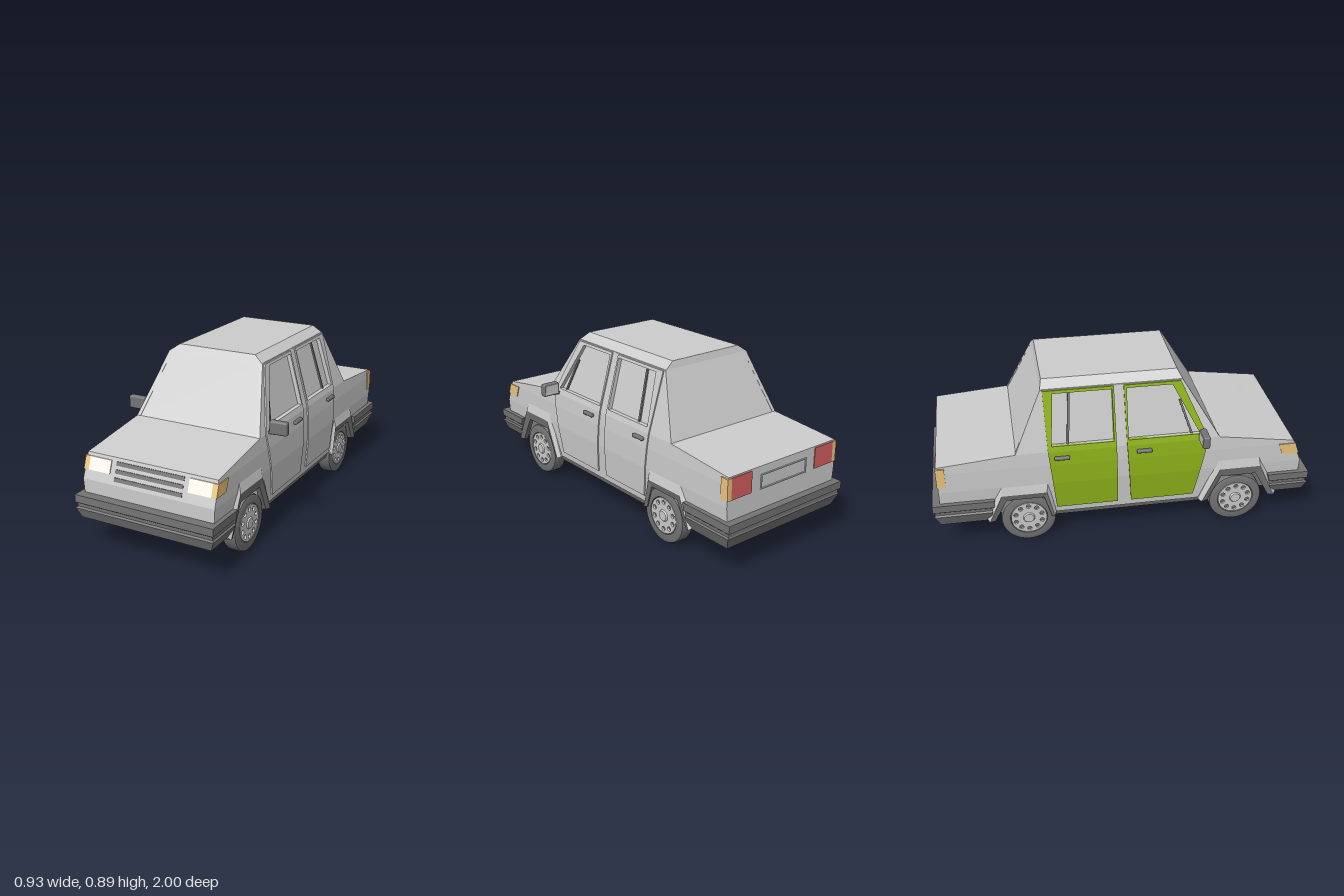
import * as THREE from 'three';
import { toCreasedNormals } from 'three/addons/utils/BufferGeometryUtils.js';
import { RoundedBoxGeometry } from 'three/addons/geometries/RoundedBoxGeometry.js';

const GREY = 0xcccccc, DARK = 0x747474, GREEN = 0x8fb31a, AMBER = 0xeec47c, CREAM = 0xfffaf0, RED = 0xd86060;

const mat = (color, side = THREE.FrontSide) => new THREE.MeshStandardMaterial({ color, side });

function add(parent, name, geo, color = GREY, x = 0, y = 0, z = 0) {
  const m = new THREE.Mesh(geo, mat(color));
  m.name = name;
  m.position.set(x, y, z);
  parent.add(m);
  return m;
}

// Flat-shaded solid from a triangle list, turned so that its faces point outwards
function solid(pos) {
  let vol = 0;
  const [a, b, c] = [0, 1, 2].map(() => new THREE.Vector3());
  for (let i = 0; i < pos.length; i += 9) {
    vol += a.fromArray(pos, i).dot(b.fromArray(pos, i + 3).cross(c.fromArray(pos, i + 6)));
  }
  if (vol < 0) {
    for (let i = 0; i < pos.length; i += 9) {
      for (let k = 0; k < 3; k++) [pos[i + 3 + k], pos[i + 6 + k]] = [pos[i + 6 + k], pos[i + 3 + k]];
    }
  }
  const g = new THREE.BufferGeometry();
  g.setAttribute('position', new THREE.Float32BufferAttribute(pos, 3));
  g.computeVertexNormals();
  return g;
}

// Skin over equal-length closed rings, with fan caps
function loft(rings) {
  const pos = [], n = rings[0].length, last = rings[rings.length - 1];
  const tri = (...p) => p.forEach(v => pos.push(...v));
  for (let r = 0; r + 1 < rings.length; r++) {
    for (let i = 0; i < n; i++) {
      const j = (i + 1) % n, A = rings[r], B = rings[r + 1];
      tri(A[i], A[j], B[j]);
      tri(A[i], B[j], B[i]);
    }
  }
  for (let i = 1; i + 1 < n; i++) {
    tri(rings[0][0], rings[0][i + 1], rings[0][i]);
    tri(last[0], last[i], last[i + 1]);
  }
  return solid(pos);
}

// Horizontal rectangle ring
const rect = (y, w, z0, z1) => [[w, y, z0], [w, y, z1], [-w, y, z1], [-w, y, z0]];

// Half width of the car's side at a height
const WALL = [[0.15, 0.355], [0.36, 0.368], [0.47, 0.365], [0.545, 0.358], [0.86, 0.272]];
function wall(y) {
  if (y <= WALL[0][0]) return WALL[0][1];
  for (let i = 1; i < WALL.length; i++) {
    const [y0, w0] = WALL[i - 1], [y1, w1] = WALL[i];
    if (y <= y1) return w0 + (w1 - w0) * (y - y0) / (y1 - y0);
  }
  return WALL[WALL.length - 1][1];
}

// Sheet drawn in (z, y) that follows the side; in and out are offsets from the wall
function panel(pts, holes, side, inner, outer) {
  const toPts = l => l.map(p => new THREE.Vector2(...p));
  const shape = new THREE.Shape(toPts(pts));
  holes.forEach(h => shape.holes.push(new THREE.Path(toPts(h))));
  const p = new THREE.ExtrudeGeometry(shape, { depth: 1, bevelEnabled: false }).attributes.position;
  const pos = [];
  for (let i = 0; i < p.count; i++) {
    const y = p.getY(i);
    pos.push(side * (wall(y) + inner + p.getZ(i) * (outer - inner)), y, p.getX(i));
  }
  return solid(pos);
}

const WINDOWS = [
  [[0.395, 0.575], [0.255, 0.84], [0.02, 0.84], [0.02, 0.575]],
  [[-0.055, 0.575], [-0.055, 0.84], [-0.355, 0.84], [-0.375, 0.575]],
];
// Door edges as z at the sill, belt and top
const DOORS = [
  { name: 'frontDoor', a: [0.37, 0.44, 0.3], b: [0.035, 0.012, 0.005], handle: 0.1 },
  { name: 'rearDoor', a: [-0.035, -0.042, -0.045], b: [-0.36, -0.395, -0.405], handle: -0.325 },
];

function buildDoor(parent, d, i, side) {
  const door = new THREE.Group();
  door.name = d.name;
  parent.add(door);
  const color = side < 0 ? GREEN : GREY;
  const edge = (e, y) => e[0] + (e[1] - e[0]) * (y - 0.2) / 0.345;
  const levels = [0.2, 0.36, 0.47, 0.545];
  for (let k = 0; k < 3; k++) {
    const [y0, y1] = [levels[k], levels[k + 1]];
    add(door, 'doorSkin', panel([[edge(d.a, y0), y0], [edge(d.a, y1), y1], [edge(d.b, y1), y1], [edge(d.b, y0), y0]],
      [], side, -0.01, 0.007), color);
  }
  add(door, 'windowFrame', panel([[d.a[1], 0.545], [d.a[2], 0.855], [d.b[2], 0.855], [d.b[1], 0.545]],
    [WINDOWS[i]], side, -0.01, 0.007), color);
  // Window divider
  const [t, l] = i ? [-0.265, -0.285] : [0.3, 0.36];
  const yT = i ? 0.845 : 0.75, yL = 0.57;
  add(door, 'windowDivider', panel([[t, yT], [t - 0.012, yT], [l - 0.012, yL], [l, yL]], [], side, -0.02, -0.007), DARK);
  add(door, 'doorHandle', new RoundedBoxGeometry(0.022, 0.018, 0.08, 2, 0.006), DARK, side * 0.374, 0.512, d.handle);
}

// Wheel arch: body-coloured flare sloping out to a dark lip
function buildArch(parent, side, flare, lipTop, opening) {
  const arch = new THREE.Group();
  arch.name = 'wheelArch';
  parent.add(arch);
  const strip = (name, A, xA, B, xB, color) => {
    const rings = A.map((p, i) => [
      [side * xA, p[1], p[0]], [side * xB, B[i][1], B[i][0]],
      [side * 0.345, B[i][1], B[i][0]], [side * 0.345, p[1], p[0]]]);
    add(arch, name, loft(rings), color);
  };
  strip('archFlare', flare, 0.364, lipTop, 0.379, GREY);
  strip('archLip', lipTop, 0.379, opening, 0.37, DARK);
}

function buildWheel(parent, x, z) {
  const wheel = new THREE.Group();
  wheel.name = 'wheel';
  wheel.position.set(x, 0.145, z);
  wheel.rotation.z = x > 0 ? -Math.PI / 2 : Math.PI / 2;
  parent.add(wheel);
  const V = (r, h) => new THREE.Vector2(r, h);
  const tyre = new THREE.LatheGeometry([V(0.06, -0.038), V(0.132, -0.038), V(0.141, -0.034), V(0.145, -0.024),
    V(0.145, 0.024), V(0.141, 0.034), V(0.132, 0.038), V(0.098, 0.038), V(0.095, 0.026), V(0, 0.026)], 36);
  add(wheel, 'tyre', toCreasedNormals(tyre, 0.7), DARK);
  add(wheel, 'innerHub', new THREE.CylinderGeometry(0.095, 0.095, 0.01, 32), GREY, 0, -0.036);
  // Hubcap with a ring of holes
  const disc = new THREE.Shape().absarc(0, 0, 0.094, 0, Math.PI * 2);
  for (let i = 0; i < 10; i++) {
    const a = i * Math.PI / 5;
    disc.holes.push(new THREE.Path().absarc(Math.cos(a) * 0.072, Math.sin(a) * 0.072, 0.012, 0, Math.PI * 2, true));
  }
  const cap = new THREE.ExtrudeGeometry(disc, { depth: 0.01, bevelEnabled: false, curveSegments: 16 });
  cap.rotateX(-Math.PI / 2);
  add(wheel, 'hubcap', toCreasedNormals(cap, 0.6), GREY, 0, 0.027);
  add(wheel, 'hubCentre', new THREE.CylinderGeometry(0.026, 0.032, 0.008, 20), GREY, 0, 0.04);
}

function buildBumper(parent, name, s, levels) {
  add(parent, name, loft(levels.map(([y, w, zOut, zIn]) => rect(y, w, s * zOut, s * zIn))), DARK);
}

// Block on the sloping nose, between two x values
function noseBlock(x0, x1, y0, y1, out, back) {
  const z = y => 0.95 - (y - 0.36) * 0.36;
  return loft([x0, x1].map(x => [[x, y0, z(y0) + out], [x, y1, z(y1) + out], [x, y1, z(y1) - back], [x, y0, z(y0) - back]]));
}

export function createModel() {
  const car = new THREE.Group();
  car.name = 'car';

  // Lower body: stations of z, bottom and top heights, with wheel openings
  const stations = [[0.95, 0.2, 0.36], [0.905, 0.18, 0.486], [0.8, 0.165, 0.501], [0.73, 0.31, 0.512], [0.5, 0.31, 0.545],
    [0.42, 0.165, 0.545], [-0.37, 0.165, 0.545], [-0.4, 0.29, 0.545], [-0.56, 0.29, 0.545], [-0.63, 0.29, 0.539],
    [-0.7, 0.165, 0.533], [-0.96, 0.2, 0.51]];
  add(car, 'lowerBody', loft(stations.map(([z, y0, y1]) => {
    const half = [y0, 0.36, 0.47, y1].map(y => Math.min(y, y1)).map(y => [wall(y), y, z]);
    return [...half, ...half.map(([x, y]) => [-x, y, z]).reverse()];
  })));

  // Floor and sills
  add(car, 'floor', loft([rect(0.135, 0.27, 0.84, -0.78), rect(0.33, 0.275, 0.9, -0.9)]), DARK);
  add(car, 'sills', loft([rect(0.135, 0.342, 0.43, -0.38), rect(0.17, 0.352, 0.42, -0.37)]), DARK);

  // Cabin core carries the glass; side frames and roof sit around it
  add(car, 'cabinGlass', loft([rect(0.54, 0.343, 0.5, -0.56), rect(0.86, 0.257, 0.31, -0.415)]));
  add(car, 'roof', loft([rect(0.857, 0.273, 0.312, -0.416), rect(0.895, 0.22, 0.29, -0.405)]));

  for (const side of [1, -1]) {
    add(car, 'sideFrame', panel([[0.5, 0.545], [0.31, 0.86], [-0.415, 0.86], [-0.56, 0.545]], WINDOWS, side, -0.02, 0));
    DOORS.forEach((d, i) => buildDoor(car, d, i, side));

    buildArch(car, side, [[0.835, 0.17], [0.72, 0.41], [0.5, 0.41], [0.4, 0.16]],
      [[0.82, 0.15], [0.73, 0.35], [0.51, 0.35], [0.42, 0.15]], [[0.79, 0.15], [0.71, 0.3], [0.52, 0.3], [0.45, 0.15]]);
    buildArch(car, side, [[-0.365, 0.17], [-0.405, 0.375], [-0.64, 0.375], [-0.73, 0.17]],
      [[-0.375, 0.15], [-0.41, 0.31], [-0.645, 0.31], [-0.715, 0.15]], [[-0.39, 0.15], [-0.425, 0.275], [-0.62, 0.275], [-0.685, 0.15]]);
    for (const z of [0.61, -0.51]) buildWheel(car, side * 0.325, z);

    // Front lamps
    add(car, 'headlight', noseBlock(side * 0.218, side * 0.342, 0.407, 0.47, 0.005, 0.04), CREAM);
    add(car, 'frontIndicator', noseBlock(side * 0.342, side * 0.3705, 0.407, 0.47, 0.005, 0.085), AMBER);
    // Rear lamps
    add(car, 'tailLight', new THREE.BoxGeometry(0.13, 0.11, 0.02), RED, side * 0.28, 0.448, -0.954);
    add(car, 'rearIndicator', new THREE.BoxGeometry(0.026, 0.11, 0.045), AMBER, side * 0.357, 0.448, -0.9415);

    // Door mirrors
    add(car, 'mirrorHousing', new RoundedBoxGeometry(0.097, 0.07, 0.036, 2, 0.01), DARK, side * 0.415, 0.58, 0.405);
    add(car, 'mirrorGlass', new THREE.BoxGeometry(0.08, 0.054, 0.004), GREY, side * 0.415, 0.58, 0.386);
    add(car, 'mirrorArm', new THREE.BoxGeometry(0.05, 0.014, 0.03), DARK, side * 0.372, 0.552, 0.405);
  }

  // Grille slats
  for (const y of [0.387, 0.424, 0.46]) add(car, 'grilleSlat', noseBlock(-0.19, 0.19, y - 0.009, y + 0.009, 0.003, 0.02), DARK);

  // Number plate surround: a thin frame around a recess
  for (const y of [0.395, 0.465]) add(car, 'plateFrame', new THREE.BoxGeometry(0.31, 0.006, 0.01), GREY, 0, y, -0.96);
  for (const x of [-0.152, 0.152]) add(car, 'plateFrame', new THREE.BoxGeometry(0.006, 0.07, 0.01), GREY, x, 0.43, -0.96);

  // Bumpers: height, half width, outer z, inner z
  buildBumper(car, 'frontBumper', 1, [[0.29, 0.387, 1, 0.775], [0.25, 0.387, 1, 0.785], [0.243, 0.379, 0.99, 0.785],
    [0.227, 0.379, 0.99, 0.79], [0.22, 0.387, 1, 0.79], [0.167, 0.365, 0.98, 0.81], [0.14, 0.3, 0.82, 0.815]]);
  buildBumper(car, 'rearBumper', -1, [[0.29, 0.387, 1, 0.68], [0.25, 0.387, 1, 0.685], [0.243, 0.379, 0.99, 0.69],
    [0.227, 0.379, 0.99, 0.695], [0.22, 0.387, 0.993, 0.695], [0.155, 0.362, 0.965, 0.71], [0.138, 0.34, 0.73, 0.72]]);

  return car;
}
